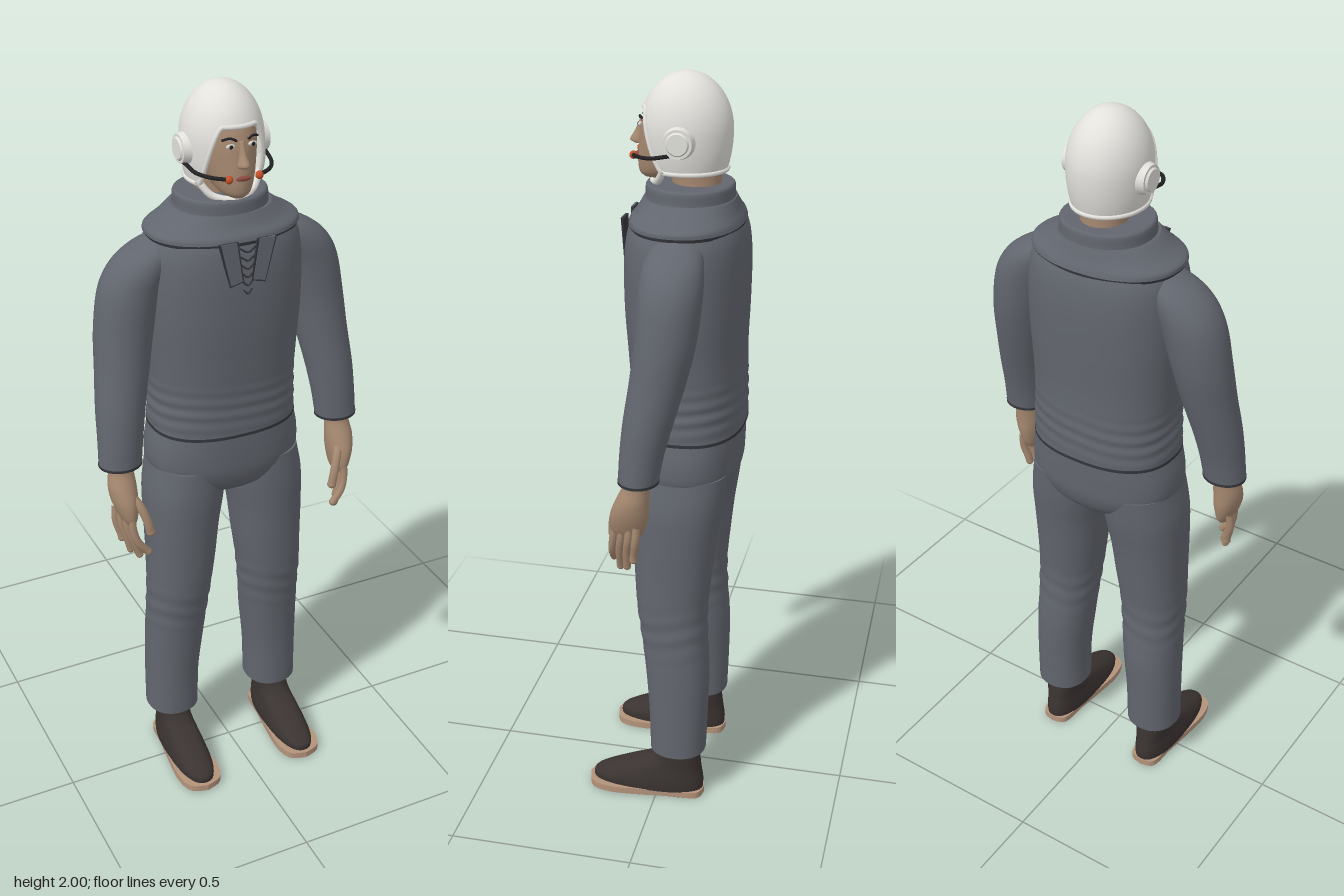
import * as THREE from 'three';

const mat = (name, color, side = THREE.FrontSide) => {
  const m = new THREE.MeshStandardMaterial({ color, side });
  m.name = name;
  return m;
};

export function createModel() {
  const model = new THREE.Group();
  model.name = 'flightCrewFigure';
  const suit = mat('suitGrey', 0x62666e);
  const seam = mat('seamGrey', 0x34363c);
  const skin = mat('skin', 0xa58870);
  const shell = mat('helmetWhite', 0xe2e1dc, THREE.DoubleSide);
  const leather = mat('shoeBrown', 0x3a3331);
  const soleTan = mat('soleTan', 0xb3937b);
  const black = mat('black', 0x222224);
  const orange = mat('micOrange', 0xc4502a);
  const lip = mat('lipRed', 0x8c4a40);
  const eyeWhite = mat('eyeWhite', 0xd8d4cc);

  const add = (name, geo, material, parent = model) => {
    const m = new THREE.Mesh(geo, material);
    m.name = name;
    parent.add(m);
    return m;
  };
  const V = (x, y, z) => new THREE.Vector3(x, y, z);

  // Smooth body from rising sections [y, cx, cz, rx, rz]; n squares the outline
  function loft(sections, { n = 2, steps = 5, seg = 40, fold = () => 0 } = {}) {
    const curve = f => new THREE.CatmullRomCurve3(sections.map(f), false, 'catmullrom', 0.5);
    const centre = curve(s => V(s[1], s[0], s[2]));
    const radius = curve(s => V(s[3], s[4], 0));
    const rows = (sections.length - 1) * steps;
    const pos = [], idx = [];
    const ring = (t) => {
      const c = centre.getPoint(t), r = radius.getPoint(t);
      for (let j = 0; j < seg; j++) {
        const a = j / seg * Math.PI * 2, k = Math.cos(a), s = Math.sin(a);
        const f = 1 + fold(c.y, a);
        pos.push(c.x + Math.sign(k) * Math.abs(k) ** (2 / n) * r.x * f, c.y,
          c.z + Math.sign(s) * Math.abs(s) ** (2 / n) * r.y * f);
      }
      return c;
    };
    for (let i = 0; i <= rows; i++) ring(i / rows);
    for (let i = 0; i < rows; i++) for (let j = 0; j < seg; j++) {
      const a = i * seg + j, c = i * seg + (j + 1) % seg;
      idx.push(a, a + seg, c, a + seg, c + seg, c);
    }
    for (const t of [0, 1]) {
      const start = pos.length / 3, c = ring(t), mid = pos.length / 3;
      pos.push(c.x, c.y, c.z);
      for (let j = 0; j < seg; j++) {
        const a = start + j, b = start + (j + 1) % seg;
        if (t) idx.push(mid, b, a); else idx.push(mid, a, b);
      }
    }
    const g = new THREE.BufferGeometry();
    g.setAttribute('position', new THREE.Float32BufferAttribute(pos, 3));
    g.setIndex(idx);
    g.computeVertexNormals();
    return g;
  }
  const tube = (pts, r, seg = 16, closed = false) =>
    new THREE.TubeGeometry(new THREE.CatmullRomCurve3(pts, closed), seg, r, 8, closed);
  const ball = (r, sx, sy, sz) => new THREE.SphereGeometry(r, 20, 14).scale(sx, sy, sz);
  // Horizontal wrinkles limited to a band of heights
  const wrinkles = (mid, half, size, freq) => (y, a) =>
    size * Math.max(0, 1 - Math.abs(y - mid) / half) * Math.sin(y * freq + Math.sin(a * 2) * 1.5);

  // Top and trousers
  add('torso', loft([[1.095, 0, -0.053, 0.2, 0.147], [1.2, 0, -0.052, 0.196, 0.147],
    [1.3, 0, -0.048, 0.199, 0.149], [1.42, 0, -0.046, 0.206, 0.155], [1.53, 0, -0.046, 0.207, 0.156],
    [1.6, 0, -0.046, 0.2, 0.15], [1.645, 0, -0.045, 0.182, 0.138]],
  { n: 2.4, steps: 14, seg: 56, fold: wrinkles(1.17, 0.09, 0.014, 170) }), suit);
  add('waistSeam', loft([[1.09, 0, -0.053, 0.201, 0.148], [1.098, 0, -0.053, 0.201, 0.148]], { n: 2.4, seg: 56, steps: 1 }), seam);
  add('hips', loft([[0.885, 0, -0.045, 0.05, 0.06], [0.92, 0, -0.05, 0.14, 0.115], [0.97, 0, -0.051, 0.203, 0.138],
    [1.03, 0, -0.051, 0.211, 0.143], [1.1, 0, -0.052, 0.197, 0.144]], { n: 2.4, seg: 56 }), suit);

  // Shoulder cape and standing collar
  add('capeSeam', loft([[1.628, 0, -0.045, 0.197, 0.143], [1.638, 0, -0.045, 0.199, 0.144]], { n: 2.2, steps: 1, seg: 56 }), seam);
  add('cape', loft([[1.637, 0, -0.045, 0.202, 0.145], [1.65, 0, -0.045, 0.198, 0.14],
    [1.668, 0, -0.048, 0.165, 0.128], [1.695, 0, -0.05, 0.128, 0.115]], { n: 2.2, seg: 56 }), suit);
  add('collar', loft([[1.66, 0, -0.05, 0.135, 0.12], [1.69, 0, -0.05, 0.122, 0.113], [1.722, 0, -0.05, 0.119, 0.111],
    [1.73, 0, -0.05, 0.113, 0.106]], { n: 2.1 }), suit);

  // Lacing below the collar
  for (let i = 0; i < 6; i++) {
    const y = 1.615 - i * 0.022, w = 0.022 - i * 0.002;
    add('lace', tube([V(-w, y + 0.012, 0.108), V(0, y, 0.111), V(w, y + 0.012, 0.108)], 0.0025, 8), seam);
  }

  // Polygon plate facing forward
  const plate = (pts, depth) => new THREE.ExtrudeGeometry(
    new THREE.Shape(pts.map(p => new THREE.Vector2(...p))), { depth, bevelEnabled: false });

  for (const s of [-1, 1]) {
    const side = new THREE.Group();
    side.name = s > 0 ? 'leftSide' : 'rightSide';
    model.add(side);
    const P = (x, y, z) => V(s * x, y, z);
    const body = rows => rows.map(([y, x, ...r]) => [y, s * x, ...r]);

    add('collarFlapEdge', plate([[s * 0.026, 1.645], [s * 0.078, 1.645], [s * 0.048, 1.528], [s * 0.01, 1.538]], 0.006), seam, side).position.z = 0.104;
    add('collarFlap', plate([[s * 0.031, 1.645], [s * 0.073, 1.645], [s * 0.046, 1.533], [s * 0.015, 1.541]], 0.006), suit, side).position.z = 0.106;

    // Arm and cuff
    add('sleeve', loft(body([[1.05, 0.316, 0.012, 0.057, 0.051], [1.12, 0.31, 0.004, 0.06, 0.056], [1.2, 0.301, -0.01, 0.065, 0.063],
      [1.3, 0.285, -0.03, 0.071, 0.07], [1.4, 0.27, -0.046, 0.077, 0.076], [1.5, 0.248, -0.052, 0.082, 0.079],
      [1.56, 0.22, -0.052, 0.08, 0.077], [1.6, 0.188, -0.052, 0.066, 0.066], [1.632, 0.155, -0.052, 0.035, 0.04]]), { steps: 6 }), suit, side);
    add('cuffSeam', loft(body([[1.045, 0.316, 0.012, 0.058, 0.052], [1.052, 0.316, 0.012, 0.058, 0.052]]), { steps: 1 }), seam, side);

    // Hand
    add('palm', loft(body([[0.89, 0.312, 0.044, 0.016, 0.035], [0.91, 0.314, 0.042, 0.024, 0.046], [0.95, 0.318, 0.036, 0.034, 0.05],
      [0.99, 0.32, 0.028, 0.037, 0.043], [1.03, 0.318, 0.018, 0.033, 0.035], [1.06, 0.316, 0.014, 0.037, 0.038]]), { seg: 24 }), skin, side);
    for (let f = 0; f < 4; f++) {
      const z = 0.076 - f * 0.021, tip = [0.805, 0.788, 0.797, 0.825][f], dx = f * 0.008;
      add('finger', tube([P(0.312 + dx, 0.925, z), P(0.314 + dx, 0.88, z + 0.004), P(0.304 + dx, 0.84, z + 0.01), P(0.278 + dx * 2, tip, z + 0.012)], 0.0105, 14), skin, side);
      add('fingertip', ball(0.0105, 1, 1, 1), skin, side).position.copy(P(0.278 + dx * 2, tip, z + 0.012));
    }
    add('thumb', tube([P(0.31, 0.975, 0.05), P(0.29, 0.94, 0.078), P(0.277, 0.9, 0.09), P(0.27, 0.868, 0.092)], 0.0125, 14), skin, side);
    add('thumbTip', ball(0.0125, 1, 1, 1), skin, side).position.copy(P(0.27, 0.868, 0.092));

    // Leg
    add('trouserLeg', loft(body([[0.155, 0.159, -0.057, 0.074, 0.077], [0.28, 0.157, -0.057, 0.075, 0.081], [0.4, 0.15, -0.053, 0.08, 0.087],
      [0.5, 0.144, -0.044, 0.083, 0.09], [0.6, 0.138, -0.036, 0.088, 0.096], [0.7, 0.131, -0.037, 0.094, 0.104],
      [0.8, 0.126, -0.04, 0.1, 0.112], [0.9, 0.117, -0.045, 0.107, 0.122], [0.99, 0.108, -0.05, 0.1, 0.125]]),
    { n: 2.2, steps: 9, fold: wrinkles(0.54, 0.1, 0.02, 110) }), suit, side);

    // Shoe
    const soleShape = k => {
      const half = new THREE.SplineCurve([[-0.132, 0], [-0.115, 0.038], [-0.04, 0.045], [0.05, 0.056], [0.13, 0.061],
        [0.182, 0.045], [0.2, 0]].map(([z, x]) => new THREE.Vector2(x * k, (z - 0.034) * k + 0.034))).getPoints(30);
      const back = half.slice(1, -1).reverse().map(p => new THREE.Vector2(-p.x, p.y));
      return new THREE.Shape([...half, ...back]);
    };
    const slab = (name, k, y, depth, m) => {
      const g = new THREE.ExtrudeGeometry(soleShape(k), { depth, bevelEnabled: false }).rotateX(Math.PI / 2);
      add(name, g, m, side).position.set(s * 0.16, y + depth, 0);
    };
    slab('sole', 1, 0.003, 0.019, soleTan);
    slab('tread', 0.93, 0, 0.004, leather);
    add('shoe', loft(body([[0.02, 0.16, 0.03, 0.053, 0.158], [0.04, 0.16, 0.028, 0.054, 0.157], [0.06, 0.16, 0.012, 0.052, 0.139],
      [0.085, 0.16, -0.015, 0.048, 0.108], [0.11, 0.16, -0.045, 0.046, 0.075], [0.14, 0.16, -0.056, 0.047, 0.06],
      [0.175, 0.16, -0.056, 0.047, 0.057]]), { n: 2.4 }), leather, side);

    // Earcup and microphone boom
    const cup = (name, r, w, x) => add(name, new THREE.CylinderGeometry(r * 0.85, r, w, 32).rotateZ(-s * Math.PI / 2), shell, side).position.set(s * x, 1.845, -0.04);
    cup('earcup', 0.042, 0.024, 0.103);
    cup('earcupCap', 0.03, 0.006, 0.117);
    add('micBoom', tube([P(0.108, 1.815, -0.02), P(0.1, 1.805, 0.03), P(0.075, 1.802, 0.07), P(0.042, 1.798, 0.086)], 0.005), black, side);
    add('microphone', ball(0.01, 1, 1, 1), orange, side).position.copy(P(0.04, 1.797, 0.086));

    // Eye and brow
    add('eye', ball(0.012, 1, 0.5, 0.4), eyeWhite, side).position.copy(P(0.029, 1.872, 0.071));
    add('pupil', ball(0.005, 1, 1, 0.5), black, side).position.copy(P(0.029, 1.872, 0.075));
    add('eyebrow', tube([P(0.014, 1.885, 0.075), P(0.03, 1.892, 0.071), P(0.047, 1.886, 0.06)], 0.003, 10), black, side);
  }

  // Neck, head and face
  add('neck', loft([[1.68, 0, -0.065, 0.062, 0.064], [1.74, 0, -0.065, 0.058, 0.062], [1.83, 0, -0.055, 0.065, 0.07]]), skin);
  add('head', loft([[1.738, 0, 0.038, 0.02, 0.03], [1.752, 0, 0.025, 0.04, 0.055], [1.785, 0, -0.005, 0.058, 0.088],
    [1.83, 0, -0.018, 0.068, 0.097], [1.875, 0, -0.025, 0.073, 0.098], [1.92, 0, -0.035, 0.072, 0.09], [1.965, 0, -0.04, 0.045, 0.055]]), skin);
  add('nose', loft([[1.82, 0, 0.08, 0.014, 0.014], [1.828, 0, 0.084, 0.015, 0.02], [1.85, 0, 0.077, 0.009, 0.014], [1.882, 0, 0.07, 0.007, 0.007]], { seg: 16 }), skin);
  add('mouth', ball(0.02, 1, 0.32, 0.35), lip).position.set(0, 1.793, 0.083);

  // Helmet shell, cut away over the face
  const U = 120, R = 24, hp = [], hi = [], rim = [];
  for (let i = 0; i <= U; i++) {
    const phi = i / U * Math.PI * 2 - Math.PI;
    const k = THREE.MathUtils.smoothstep(Math.abs(phi), 0.45, 1.15);
    const c = 1.915 - 0.15 * k - 1.86;
    const end = Math.acos(c / (c > 0 ? 0.14 : 0.2));
    for (let j = 0; j <= R; j++) {
      const t = end * j / R, h = Math.cos(t), r = Math.sin(t);
      hp.push(Math.sin(phi) * r * 0.102, 1.86 + h * (h > 0 ? 0.14 : 0.2), -0.04 + Math.cos(phi) * r * 0.115);
    }
    if (i < U) rim.push(V(...hp.slice(-3)));
  }
  for (let i = 0; i < U; i++) for (let j = 0; j < R; j++) {
    const a = i * (R + 1) + j, b = a + R + 1;
    hi.push(a, a + 1, b, b, a + 1, b + 1);
  }
  const helmet = new THREE.BufferGeometry();
  helmet.setAttribute('position', new THREE.Float32BufferAttribute(hp, 3));
  helmet.setIndex(hi);
  helmet.computeVertexNormals();
  add('helmet', helmet, shell);
  add('helmetRim', tube(rim, 0.006, 180, true), shell);
  add('chinStrap', tube([V(-0.084, 1.775, 0), V(-0.055, 1.738, 0.022), V(0, 1.727, 0.045), V(0.055, 1.738, 0.022), V(0.084, 1.775, 0)], 0.009, 32), shell);

  return model;
}
